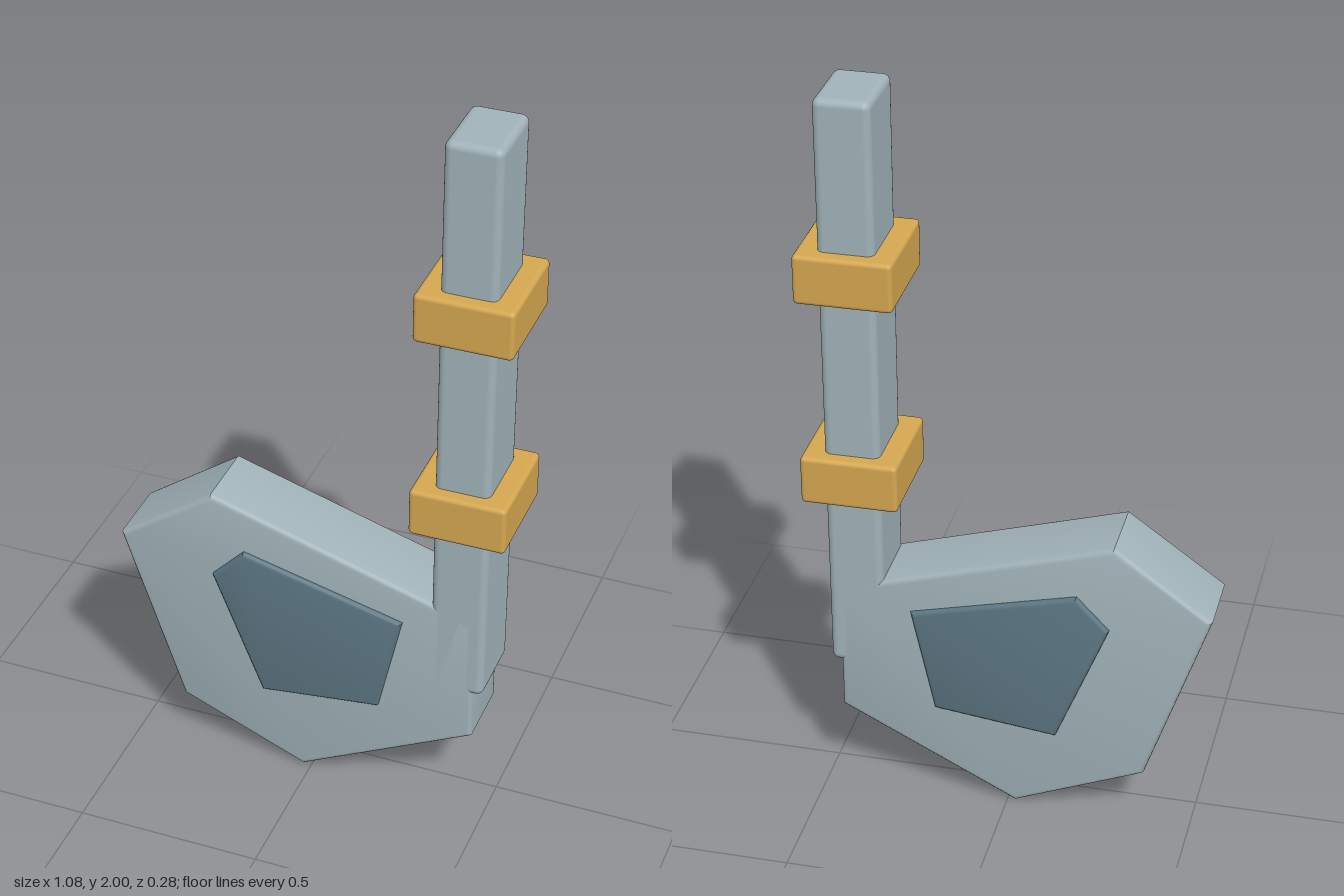
import * as THREE from 'three';
import { RoundedBoxGeometry } from 'three/addons/geometries/RoundedBoxGeometry.js';
import { toCreasedNormals } from 'three/addons/utils/BufferGeometryUtils.js';

const steel = new THREE.MeshStandardMaterial({ color: 0xa0b2b8 });
const darkSteel = new THREE.MeshStandardMaterial({ color: 0x5b7581 });
const gold = new THREE.MeshStandardMaterial({ color: 0xd4a650 });

// Bevelled plate with the given outline, centred on z = 0
function plate(name, points, halfDepth, bevel, material) {
  const shape = new THREE.Shape(points.map(([x, y]) => new THREE.Vector2(x, y)));
  const depth = 2 * (halfDepth - bevel);
  const geometry = new THREE.ExtrudeGeometry(shape, {
    depth, bevelThickness: bevel, bevelSize: bevel, bevelOffset: -bevel, bevelSegments: 3,
  });
  geometry.translate(0, 0, -depth / 2);
  const mesh = new THREE.Mesh(toCreasedNormals(geometry, 0.6), material);
  mesh.name = name;
  return mesh;
}

// Box with rounded edges, given its bottom and top heights
function block(name, x, bottom, top, width, depth, radius, material) {
  const mesh = new THREE.Mesh(new RoundedBoxGeometry(width, top - bottom, depth, 3, radius), material);
  mesh.position.set(x, (bottom + top) / 2, 0);
  mesh.name = name;
  return mesh;
}

export function createModel() {
  const model = new THREE.Group();
  model.name = 'club';
  const shaftX = 0.407;

  // Angular head
  model.add(plate('head', [
    [-0.022, 0], [0.453, 0.243], [0.453, 0.615], [-0.28, 0.835], [-0.54, 0.648], [-0.37, 0.146],
  ], 0.104, 0.015, steel));

  // Dark inlay, standing proud on both faces
  model.add(plate('inlay', [
    [-0.133, 0.24], [0.195, 0.28], [0.258, 0.572], [-0.185, 0.682], [-0.273, 0.59],
  ], 0.118, 0.012, darkSteel));

  // Upright shaft with two bands
  model.add(block('shaft', shaftX, 0.385, 2, 0.147, 0.208, 0.02, steel));
  for (const [name, bottom] of [['lowerBand', 0.888], ['upperBand', 1.461]]) {
    model.add(block(name, shaftX, bottom, bottom + 0.134, 0.256, 0.282, 0.012, gold));
  }
  return model;
}
